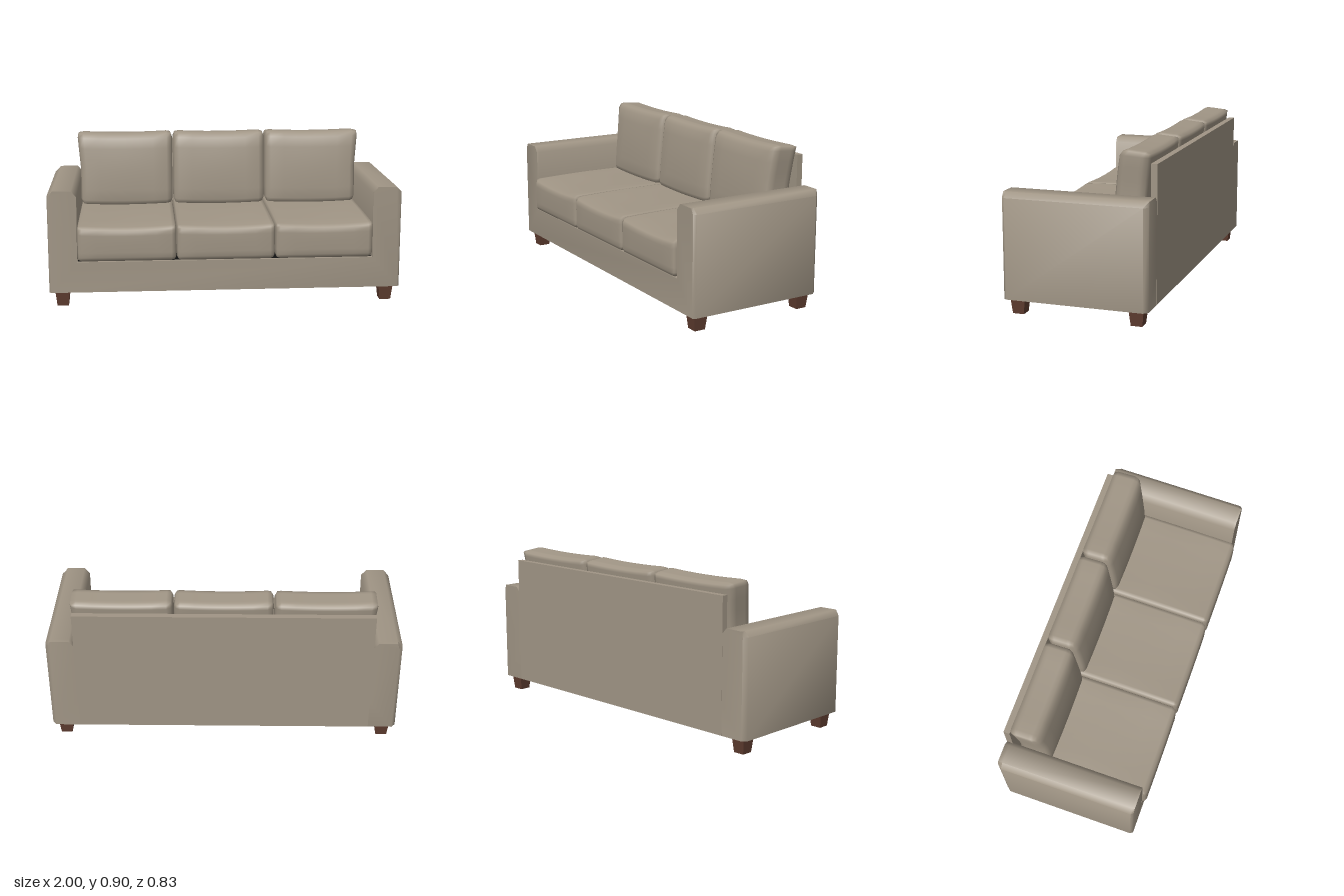
import * as THREE from 'three';
import { mergeVertices, toCreasedNormals } from 'three/addons/utils/BufferGeometryUtils.js';

const fabric = new THREE.MeshStandardMaterial({ name: 'taupe fabric', color: 0xa09585 });
const wood = new THREE.MeshStandardMaterial({ name: 'brown wood', color: 0x5f3d30 });
const lining = new THREE.MeshStandardMaterial({ name: 'black lining', color: 0x111111 });

function addMesh(parent, name, geometry, material, x = 0, y = 0, z = 0) {
  const mesh = new THREE.Mesh(geometry, material);
  mesh.name = name;
  mesh.position.set(x, y, z);
  parent.add(mesh);
  return mesh;
}

// Soft box with rounded edges; bend(p, u, v, w) shifts each point, u v w run from -1 to 1
function cushionGeometry(size, radius, bend) {
  const n = 8;
  const half = size.map((s) => s / 2);
  const box = new THREE.BoxGeometry(2, 2, 2, n, n, n);
  box.deleteAttribute('uv');
  box.deleteAttribute('normal');
  const geometry = mergeVertices(box);
  const pos = geometry.attributes.position;
  const p = new THREE.Vector3();
  const inner = new THREE.Vector3();
  for (let i = 0; i < pos.count; i++) {
    p.fromBufferAttribute(pos, i);
    const uvw = p.toArray();
    // The outermost ring of cells becomes the rounded border
    const outer = uvw.map((t, k) => {
      const ring = 1 - 2 / n;
      return Math.abs(t) > ring + 0.01 ? Math.sign(t) * half[k] : (t / ring) * (half[k] - radius);
    });
    inner.fromArray(outer.map((c, k) => THREE.MathUtils.clamp(c, radius - half[k], half[k] - radius)));
    p.fromArray(outer).sub(inner).setLength(radius).add(inner);
    bend(p, ...uvw);
    pos.setXYZ(i, p.x, p.y, p.z);
  }
  geometry.computeVertexNormals();
  return geometry;
}

// U-shaped body: both arms and the base in one extruded profile
function frameGeometry() {
  const side = [[1, 0.086], [1, 0.64], [0.97, 0.67], [0.865, 0.67], [0.835, 0.635], [0.84, 0.262]];
  const outline = [...side, ...side.map(([x, y]) => [-x, y]).reverse()];
  const shape = new THREE.Shape(outline.map(([x, y]) => new THREE.Vector2(x, y)));
  const geometry = new THREE.ExtrudeGeometry(shape, { depth: 3, steps: 3, bevelEnabled: false });
  const layers = [-0.415, -0.39, 0.375, 0.39];
  const inset = [0.022, 0, 0, 0.012];
  const pos = geometry.attributes.position;
  for (let i = 0; i < pos.count; i++) {
    const layer = Math.round(pos.getZ(i));
    const x = pos.getX(i);
    // Soften the outer upright corners
    if (Math.abs(x) > 0.99) pos.setX(i, Math.sign(x) * (1 - inset[layer]));
    pos.setZ(i, layers[layer]);
  }
  return toCreasedNormals(geometry, 0.9);
}

export function createModel() {
  const sofa = new THREE.Group();
  sofa.name = 'sofa';

  addMesh(sofa, 'armsAndBase', frameGeometry(), fabric);
  addMesh(sofa, 'backPanel', new THREE.BoxGeometry(1.68, 0.752, 0.035), fabric, 0, 0.463, -0.3985);
  addMesh(sofa, 'undersideLining', new THREE.BoxGeometry(1.94, 0.004, 0.76), lining, 0, 0.084, -0.012);
  addMesh(sofa, 'seatDeckLining', new THREE.BoxGeometry(1.67, 0.004, 0.75), lining, 0, 0.263, -0.005);

  // Seat cushions sag slightly in the middle
  const seat = cushionGeometry([0.555, 0.217, 0.78], 0.026, (p, u, v, w) => {
    if (v > 0) p.y -= 0.018 * v * (1 - u * u) * (0.4 + 0.6 * Math.abs(w));
    if (v > 0 && w > 0) p.y -= 0.012 * v * w * w;
    if (w > 0) p.z += 0.004 * (1 - u * u) * (1 - v * v);
  });

  // Back cushions lean backwards, with a dipped top and bottom and a plump front
  const backCushion = (flare) => cushionGeometry([0.552, 0.435, 0.17], 0.034, (p, u, v, w) => {
    p.z -= 0.026 * v + 0.006 * v * v;
    if (w > 0) p.z += 0.012 * (1 - u * u) * (1 - v * v);
    if (v > 0) p.y -= v * (0.012 * (1 - u * u) - 0.006 * w);
    else p.y += 0.012 * v * (1 - u * u);
    if (u * flare > 0) p.x += 0.022 * u * Math.max(0, v);
  });

  [-1, 0, 1].forEach((k) => {
    const label = ['right', 'middle', 'left'][k + 1];
    addMesh(sofa, `${label}SeatCushion`, seat, fabric, k * 0.559, 0.374, 0.021);
    addMesh(sofa, `${label}BackCushion`, backCushion(k), fabric, k * 0.559, 0.688, -0.268);
  });

  // Tapered square legs
  const leg = new THREE.CylinderGeometry(0.058, 0.045, 0.086, 4).rotateY(Math.PI / 4).toNonIndexed();
  leg.computeVertexNormals();
  for (const x of [-0.927, 0.927]) {
    addMesh(sofa, 'frontLeg', leg, wood, x, 0.043, 0.323);
    addMesh(sofa, 'backLeg', leg, wood, x, 0.043, -0.343);
  }
  return sofa;
}
